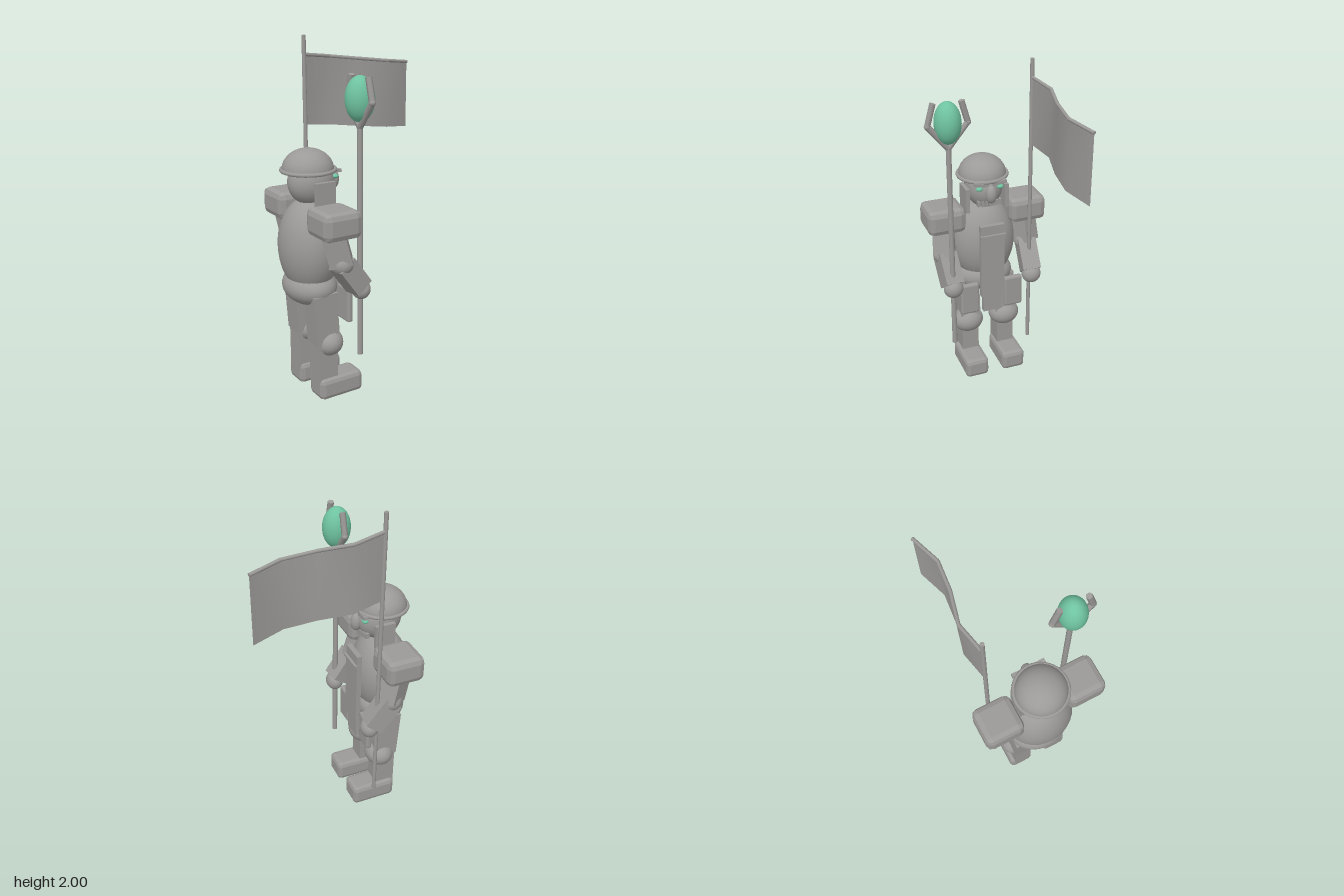
import * as THREE from 'three';
import { RoundedBoxGeometry } from 'three/addons/geometries/RoundedBoxGeometry.js';

const stone = new THREE.MeshStandardMaterial({ color: 0x9c9a98 });
stone.name = 'stone grey';
const jade = new THREE.MeshStandardMaterial({ color: 0x6fc3a0 });
jade.name = 'jade green';
const cloth = new THREE.MeshStandardMaterial({ color: 0x9c9a98, side: THREE.DoubleSide });
cloth.name = 'cloth grey';

const V = (x, y, z) => new THREE.Vector3(x, y, z);

export function createModel() {
  const model = new THREE.Group();
  model.name = 'bannerGuard';
  const MID = -0.006; // the body's centre plane, figure faces +x

  const add = (name, geo, pos, mat = stone, parent = model) => {
    const mesh = new THREE.Mesh(geo, mat);
    mesh.name = name;
    mesh.position.copy(pos);
    parent.add(mesh);
    return mesh;
  };
  const ball = (name, pos, rx, ry, rz, mat) =>
    add(name, new THREE.SphereGeometry(1, 32, 24).scale(rx, ry, rz), pos, mat);
  const box = (name, pos, w, h, d) => add(name, new THREE.BoxGeometry(w, h, d), pos);
  // chamfered box with flat facets
  const bevelBox = (name, pos, w, h, d, r) => {
    const geo = new RoundedBoxGeometry(w, h, d, 1, r);
    geo.computeVertexNormals();
    return add(name, geo, pos);
  };
  // aligns a y-long geometry between two points
  const span = (name, geo, a, b) => {
    const mesh = add(name, geo, a.clone().lerp(b, 0.5));
    mesh.quaternion.setFromUnitVectors(V(0, 1, 0), b.clone().sub(a).normalize());
    return mesh;
  };
  const rod = (name, a, b, r, sides = 10) =>
    span(name, new THREE.CylinderGeometry(r, r, a.distanceTo(b), sides), a, b);
  const limb = (name, a, b, w, d) =>
    span(name, new THREE.BoxGeometry(w, a.distanceTo(b), d), a, b);

  // torso and hips
  ball('torso', V(-0.345, 0.875, MID), 0.165, 0.275, 0.197);
  ball('pelvis', V(-0.345, 0.645, MID), 0.146, 0.11, 0.182);

  // tabard hanging down the front
  box('tabard', V(-0.175, 0.8, MID), 0.03, 0.48, 0.15);
  box('tabardBand', V(-0.16, 0.975, MID), 0.03, 0.014, 0.156);
  box('tabardTail', V(-0.187, 0.51, MID), 0.03, 0.13, 0.118);

  // head, face and helmet
  ball('head', V(-0.322, 1.24, MID), 0.135, 0.13, 0.11);
  ball('nose', V(-0.182, 1.235, MID), 0.032, 0.055, 0.034);
  for (let i = -3; i <= 3; i++) {
    const z = i * 0.022;
    box('tooth', V(-0.208 - 3 * z * z, 1.168, MID + z), 0.025, 0.032, 0.015);
  }
  const dome = new THREE.SphereGeometry(1, 32, 12, 0, Math.PI * 2, 0, Math.PI / 2);
  add('helmetDome', dome.scale(0.143, 0.118, 0.143), V(-0.34, 1.308, MID));
  add('helmetBase', new THREE.CylinderGeometry(0.143, 0.143, 0.01, 32), V(-0.34, 1.304, MID));
  add('helmetRim', new THREE.TorusGeometry(0.147, 0.011, 8, 40).rotateX(Math.PI / 2), V(-0.338, 1.308, MID));

  for (const s of [1, -1]) {
    const z = (d) => MID + s * d;

    // face sides
    ball('eye', V(-0.208, 1.267, z(0.064)), 0.018, 0.013, 0.021, jade);
    const brow = box('brow', V(-0.198, 1.297, z(0.057)), 0.024, 0.018, 0.085);
    brow.rotation.x = -s * 0.15;
    box('cheekGuard', V(-0.305, 1.18, z(0.122)), 0.12, 0.15, 0.024);

    // arm
    const shoulder = V(-0.34, 1.04, z(0.248));
    const elbow = V(-0.29, 0.835, z(0.262));
    const hand = V(-0.163, 0.662, z(0.253));
    bevelBox('pauldron', V(-0.33, 1.07, z(0.254)), 0.226, 0.155, 0.232, 0.036);
    limb('upperArm', shoulder, elbow, 0.125, 0.112);
    ball('elbow', elbow, 0.064, 0.064, 0.07);
    limb('forearm', elbow, hand.clone().lerp(elbow, 0.1), 0.115, 0.112);
    ball('hand', hand, 0.052, 0.058, 0.06);

    // leg
    bevelBox('tasset', V(-0.196, 0.548, z(0.142)), 0.036, 0.205, 0.118, 0.012);
    limb('thigh', V(-0.342, 0.63, z(0.115)), V(-0.322, 0.335, z(0.115)), 0.142, 0.125);
    ball('knee', V(-0.302, 0.33, z(0.122)), 0.085, 0.08, 0.098);
    limb('shin', V(-0.325, 0.35, z(0.118)), V(-0.325, 0.08, z(0.118)), 0.122, 0.108);
    bevelBox('foot', V(-0.248, 0.062, z(0.122)), 0.275, 0.124, 0.152, 0.026);
  }

  // staff with a forked head holding a gem
  const SX = -0.168, SZ = 0.248;
  rod('staffShaft', V(SX, 0.27, SZ), V(SX, 1.57, SZ), 0.016);
  for (const s of [1, -1]) {
    const root = V(SX, 1.56, SZ);
    const bend = V(SX, 1.7, SZ + s * 0.115);
    const tip = V(SX, 1.825, SZ + s * 0.08);
    rod('staffForkLower', root, bend, 0.018, 6);
    rod('staffForkUpper', bend, tip, 0.018, 6);
    ball('staffForkJoint', bend, 0.018, 0.018, 0.018);
  }
  ball('gem', V(SX, 1.707, SZ), 0.081, 0.121, 0.076, jade);

  // banner pole, top bar and waving cloth
  rod('bannerPole', V(-0.21, 0.17, -0.261), V(-0.21, 2, -0.261), 0.012);
  const wave = [-0.261, -0.295, -0.25, -0.23, -0.284]
    .map((z, i) => V(-0.21 + i * 0.18, 1.895 - i * 0.02, z));
  const positions = [], indices = [];
  wave.forEach((p, i) => {
    positions.push(p.x, p.y, p.z, p.x, p.y - 0.395, p.z);
    if (i === 0) return;
    rod('bannerBar', wave[i - 1], p, 0.01, 8);
    const a = 2 * (i - 1);
    indices.push(a, a + 1, a + 2, a + 2, a + 1, a + 3);
  });
  const flag = new THREE.BufferGeometry();
  flag.setAttribute('position', new THREE.Float32BufferAttribute(positions, 3));
  flag.setIndex(indices);
  flag.computeVertexNormals();
  add('bannerCloth', flag, V(0, 0, 0), cloth);

  return model;
}
